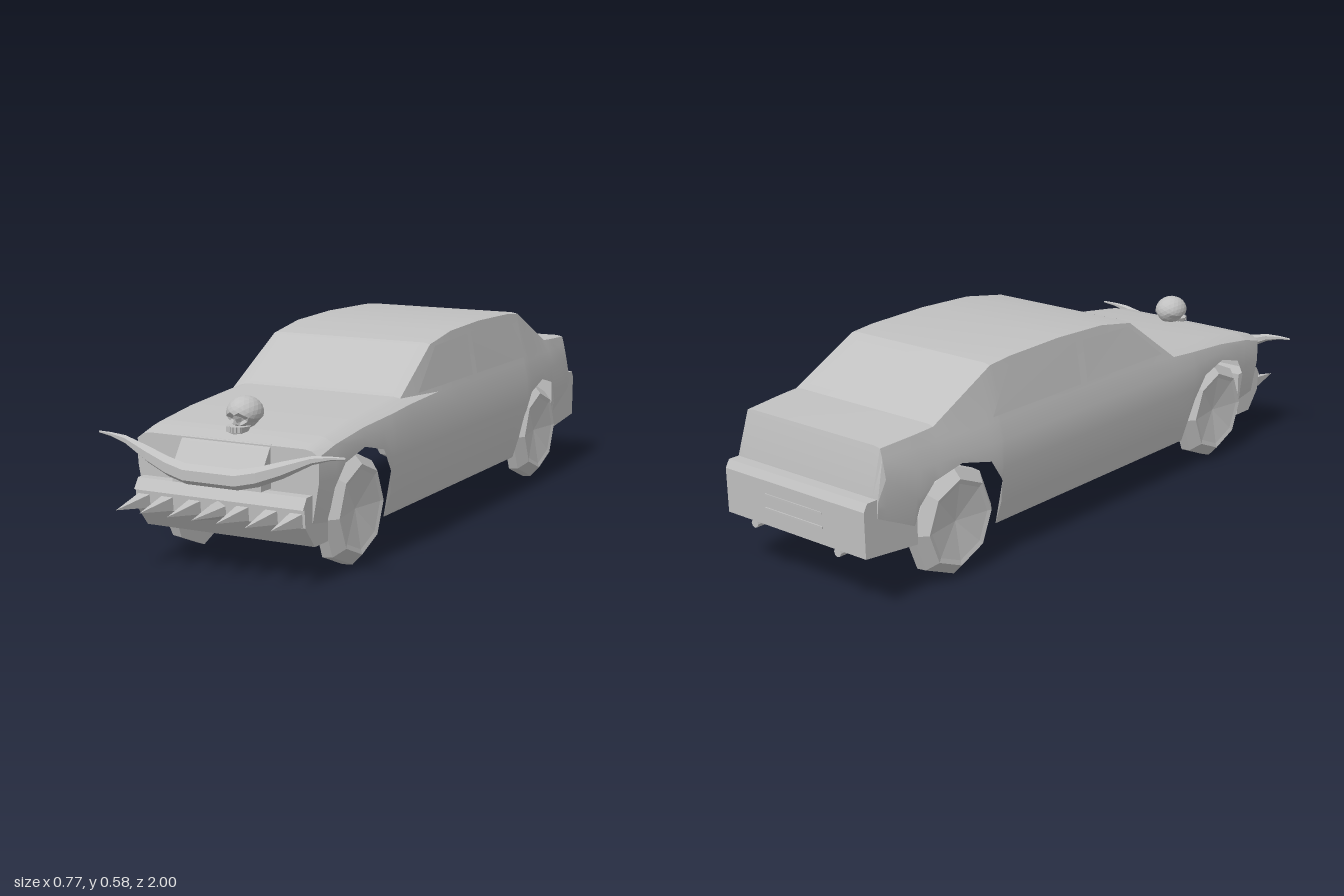
import * as THREE from 'three';
import { toCreasedNormals } from 'three/addons/utils/BufferGeometryUtils.js';

const bareMetal = new THREE.MeshStandardMaterial({ color: 0xc0c0c0, side: THREE.DoubleSide });
bareMetal.name = 'bareMetal';

// Facets a geometry, keeping gentle bends smooth when a crease angle is given
function add(parent, name, geometry, crease = 0.02) {
  const mesh = new THREE.Mesh(toCreasedNormals(geometry, crease), bareMetal);
  mesh.name = name;
  parent.add(mesh);
  return mesh;
}

// Skins a list of equal-length rings; caps fill the two end rings
function loft(rings, caps = true) {
  const n = rings[0].length;
  const pos = rings.flat(2);
  const index = [];
  for (let i = 0; i < rings.length - 1; i++) {
    for (let j = 0; j < n - 1; j++) {
      const a = i * n + j, c = a + n;
      index.push(a, c, a + 1, a + 1, c, c + 1);
    }
  }
  if (caps) {
    const last = (rings.length - 1) * n;
    for (let j = 1; j < n - 1; j++) {
      index.push(0, j, j + 1, last, last + j + 1, last + j);
    }
  }
  const g = new THREE.BufferGeometry();
  g.setAttribute('position', new THREE.Float32BufferAttribute(pos, 3));
  g.setIndex(index);
  return g;
}

// Linear lookup in a list of [key, value] with rising keys
function lookup(table, k) {
  if (k <= table[0][0]) return table[0][1];
  for (let i = 1; i < table.length; i++) {
    const [a, u] = table[i - 1], [b, v] = table[i];
    if (k <= b) return u + (v - u) * (k - a) / (b - a);
  }
  return table[table.length - 1][1];
}

// Extrudes a [z, y] outline across the full width
function crossBar(outline, halfWidth) {
  const shape = new THREE.Shape(outline.map(([z, y]) => new THREE.Vector2(-z, y)));
  const g = new THREE.ExtrudeGeometry(shape, { depth: halfWidth * 2, bevelEnabled: false });
  return g.translate(0, 0, -halfWidth).rotateY(Math.PI / 2);
}

const topLine = [[-0.95, 0.32], [-0.92, 0.445], [-0.73, 0.457], [-0.5, 0.572], [-0.42, 0.58], [-0.2, 0.585],
  [0, 0.578], [0.14, 0.555], [0.33, 0.425], [0.6, 0.405], [0.75, 0.385], [0.83, 0.365]];
const bottomLine = [[-0.95, 0.15], [-0.815, 0.14], [-0.8, 0.25], [-0.75, 0.31], [-0.65, 0.335], [-0.54, 0.31],
  [-0.49, 0.24], [-0.48, 0.1], [0.43, 0.1], [0.45, 0.24], [0.5, 0.31], [0.6, 0.335], [0.7, 0.31], [0.745, 0.25],
  [0.755, 0.14], [0.83, 0.14]];
const sideBulge = [[0.1, 0.262], [0.17, 0.284], [0.28, 0.305], [0.36, 0.305], [0.42, 0.291]];
const widthScale = [[-0.95, 0.88], [-0.8, 0.92], [-0.5, 1], [0.43, 1], [0.6, 0.97], [0.83, 0.93]];

function bodyShell() {
  const stations = [...new Set([...topLine, ...bottomLine].map(p => p[0]))].sort((a, b) => b - a);
  const rings = stations.map(z => {
    const top = lookup(topLine, z), low = lookup(bottomLine, z), s = lookup(widthScale, z);
    const belt = Math.min(0.415, top - 0.018);
    const half = [low, 0.17, 0.28, 0.36, belt].map(y => {
      const h = Math.min(Math.max(y, low), belt);
      return [lookup(sideBulge, h) * s, h, z];
    });
    const edge = Math.min(0.263, 0.284 * s);
    half.push([edge, top - 0.004, z], [edge - 0.02, top, z]);
    return [...half, ...half.map(([x, y]) => [-x, y, z]).reverse()];
  });
  return loft(rings);
}

// Thin pane from four corners
function pane(a, b, c, d) {
  return loft([[a, b], [d, c]], false);
}

function hornBar() {
  const half = [[0.383, 0.361, 0.003, 0.868], [0.34, 0.358, 0.006, 0.872], [0.29, 0.349, 0.012, 0.876],
    [0.21, 0.318, 0.023, 0.886], [0.14, 0.294, 0.027, 0.894], [0.08, 0.281, 0.028, 0.9]];
  const path = [...half.map(([x, ...r]) => [-x, ...r]), ...[...half].reverse()];
  return loft(path.map(([x, y, r, z]) => {
    const ring = [];
    for (let k = 0; k <= 6; k++) {
      const a = k * Math.PI / 3 + Math.PI / 6;
      ring.push([x, y + Math.sin(a) * r, z + Math.cos(a) * r * 0.8]);
    }
    return ring;
  }));
}

function skull() {
  const group = new THREE.Group();
  group.name = 'skullOrnament';
  // Cranium with two pressed-in eye sockets and narrowed lower face
  const g = new THREE.IcosahedronGeometry(1, 3);
  const p = g.attributes.position;
  for (let i = 0; i < p.count; i++) {
    const x = p.getX(i), y = p.getY(i), z = p.getZ(i);
    const socket = Math.hypot(Math.abs(x) - 0.4, y + 0.25) < 0.27 && z > 0;
    const narrow = y < -0.3 ? 0.82 : 1;
    p.setXYZ(i, x * 0.049 * narrow, y * 0.045, z * 0.057 * (socket ? 0.7 : 1));
  }
  add(group, 'cranium', g).position.set(0, 0.426, 0.732);
  const jaw = new THREE.CylinderGeometry(0.034, 0.025, 0.026, 8);
  add(group, 'jaw', jaw).position.set(0, 0.382, 0.764);
  const nose = new THREE.ConeGeometry(0.008, 0.018, 3);
  add(group, 'noseBridge', nose).position.set(0, 0.41, 0.786);
  for (let i = -2; i <= 2; i++) {
    const tooth = new THREE.BoxGeometry(0.007, 0.015, 0.006);
    add(group, 'tooth', tooth).position.set(i * 0.009, 0.388, 0.798 - i * i * 0.002);
  }
  return group;
}

export function createModel() {
  const car = new THREE.Group();
  car.name = 'spikedCar';
  add(car, 'bodyShell', bodyShell(), 0.35);

  // Windows
  add(car, 'windshield', pane([-0.24, 0.432, 0.326], [0.24, 0.432, 0.326], [0.235, 0.551, 0.152], [-0.235, 0.551, 0.152]));
  add(car, 'rearWindow', pane([0.225, 0.47, -0.712], [-0.225, 0.47, -0.712], [-0.215, 0.56, -0.532], [0.215, 0.56, -0.532]));
  for (const s of [1, -1]) {
    add(car, 'frontSideWindow', pane([s * 0.291, 0.43, 0.27], [s * 0.291, 0.43, -0.1], [s * 0.27, 0.553, -0.1], [s * 0.27, 0.545, 0.12]));
    add(car, 'rearSideWindow', pane([s * 0.291, 0.43, -0.13], [s * 0.291, 0.43, -0.52], [s * 0.27, 0.55, -0.43], [s * 0.27, 0.555, -0.13]));
  }

  // Bumpers
  add(car, 'frontBumper', crossBar([[0.75, 0.105], [0.82, 0.105], [0.868, 0.165], [0.872, 0.215], [0.88, 0.215], [0.86, 0.245], [0.75, 0.245]], 0.264));
  add(car, 'rearBumper', crossBar([[-0.8, 0.14], [-0.995, 0.16], [-0.998, 0.29], [-0.985, 0.312], [-0.8, 0.312]], 0.265));
  for (const y of [0.21, 0.25]) {
    add(car, 'rearSlot', new THREE.BoxGeometry(0.22, 0.006, 0.004)).position.set(0, y, -0.998);
  }
  for (const x of [-0.16, 0.16]) {
    add(car, 'exhaustPipe', new THREE.CylinderGeometry(0.013, 0.013, 0.06, 8).rotateX(Math.PI / 2)).position.set(x, 0.152, -0.965);
  }

  // Horn bar, its bracket and the skull
  add(car, 'hornBracket', crossBar([[0.79, 0.25], [0.88, 0.25], [0.88, 0.29], [0.835, 0.355], [0.825, 0.367], [0.79, 0.367]], 0.138));
  add(car, 'hornBar', hornBar());
  car.add(skull());

  // Bumper spikes
  for (const x of [-0.238, -0.163, -0.075, 0, 0.075, 0.163, 0.238]) {
    const sides = x === 0 ? 6 : 4;
    const spike = new THREE.ConeGeometry(0.027, 0.135, sides);
    spike.rotateY(sides === 4 ? Math.PI / 4 : 0).rotateX(Math.PI / 2);
    add(car, 'spike', spike).position.set(x, 0.185, 0.9325);
  }

  // Eight-sided wheels with dished faces
  const profile = [[0, -0.03], [0.161, -0.03], [0.158, 0], [0.126, 0.03], [0.112, 0.026], [0, 0.008]]
    .map(([r, h]) => new THREE.Vector2(r, h));
  for (const z of [0.6, -0.65]) {
    for (const side of [1, -1]) {
      const wheel = add(car, 'wheel', new THREE.LatheGeometry(profile, 8).rotateZ(-Math.PI / 2));
      wheel.position.set(side * 0.256, 0.161, z);
      if (side < 0) wheel.rotation.y = Math.PI;
    }
  }
  return car;
}
